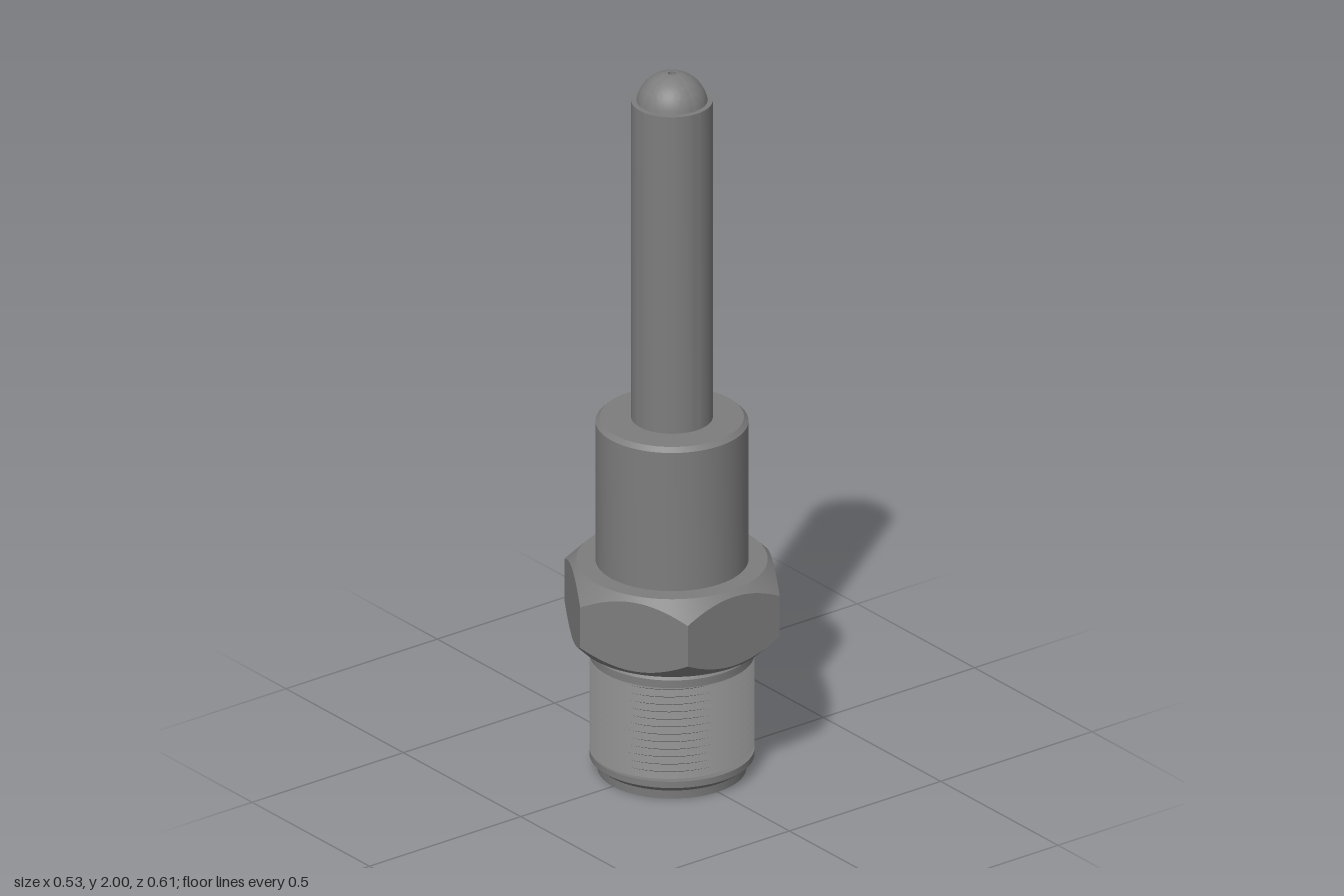
import * as THREE from 'three';
import { toCreasedNormals } from 'three/addons/utils/BufferGeometryUtils.js';

const SEG = 72;
const material = new THREE.MeshStandardMaterial({ color: 0x7d7d7d });

function addPart(group, name, geometry) {
  const mesh = new THREE.Mesh(toCreasedNormals(geometry, 0.45), material);
  mesh.name = name;
  group.add(mesh);
}

// Revolved part from [radius, height] pairs, outside listed upwards
function turned(points) {
  return new THREE.LatheGeometry(points.map(([r, y]) => new THREE.Vector2(r, y)), SEG);
}

// Surface through closed rings listed upwards; at(row, angle) gives [radius, height]
function ringSurface(rows, seg, at) {
  const positions = [], index = [];
  for (let i = 0; i < rows; i++) {
    for (let j = 0; j <= seg; j++) {
      const a = (j / seg) * Math.PI * 2;
      const [r, y] = at(i, a);
      positions.push(r * Math.cos(a), y, -r * Math.sin(a));
      if (i < rows - 1 && j < seg) {
        const p = i * (seg + 1) + j, q = p + seg + 1;
        index.push(p, p + 1, q, p + 1, q + 1, q);
      }
    }
  }
  const geometry = new THREE.BufferGeometry();
  geometry.setAttribute('position', new THREE.Float32BufferAttribute(positions, 3));
  geometry.setIndex(index);
  return geometry;
}

// Hexagon whose corners are cut back by a 45 degree cone at both ends
function hexNut() {
  const flat = 0.263, face = 0.25, inner = 0.19, low = 0.376, high = 0.6;
  return ringSurface(6, 120, (row, a) => {
    const sector = Math.PI / 3;
    const r = flat / Math.cos(a - Math.round(a / sector) * sector);
    const drop = r - face;
    return [
      [inner, low], [face, low], [r, low + drop],
      [r, high - drop], [face, high], [inner, high],
    ][row];
  });
}

// Right-handed helical V thread, trimmed flat at both ends
function thread() {
  const low = 0.058, high = 0.33, pitch = 0.0215, root = 0.196, crest = 0.216;
  const turns = Math.ceil((high - low) / pitch) + 1;
  return ringSurface(turns * 2 + 1, SEG, (row, a) => {
    const y = low + pitch * (row / 2 - 1 + a / (Math.PI * 2));
    if (y <= low || y >= high) return [root, THREE.MathUtils.clamp(y, low, high)];
    return [row % 2 ? crest : root, y];
  });
}

export function createModel() {
  const group = new THREE.Group();

  // Threaded end: chamfered nose, thread and run-out collar
  addPart(group, 'threadNose', turned([
    [0.15, 0], [0.195, 0], [0.197, 0.024], [0.216, 0.04], [0.216, 0.058], [0.19, 0.058],
  ]));
  addPart(group, 'thread', thread());
  addPart(group, 'threadCollar', turned([
    [0.19, 0.328], [0.216, 0.328], [0.216, 0.35], [0.198, 0.367], [0.198, 0.38],
  ]));

  addPart(group, 'hexNut', hexNut());

  // Plain barrel with a small top chamfer
  addPart(group, 'barrel', turned([
    [0.2, 0.595], [0.2, 0.998], [0.188, 1.01], [0.1, 1.01],
  ]));

  // Slim rod with a domed tip and a fine outlet
  addPart(group, 'rod', turned([[0.107, 1.005], [0.107, 1.922], [0.09, 1.922]]));
  const dome = [];
  for (let i = 0; i <= 14; i++) {
    const t = THREE.MathUtils.lerp(0.16, Math.PI / 2 - 0.106, i / 14);
    dome.push([0.0945 * Math.cos(t), 1.906 + 0.0945 * Math.sin(t)]);
  }
  addPart(group, 'domeTip', turned(dome));

  // Stepped bore running from the inlet to the outlet
  addPart(group, 'bore', turned([
    [0.01, 2], [0.01, 1.92], [0.065, 1.87], [0.065, 0.95],
    [0.115, 0.9], [0.115, 0.13], [0.15, 0.13], [0.15, 0],
  ]));

  return group;
}
